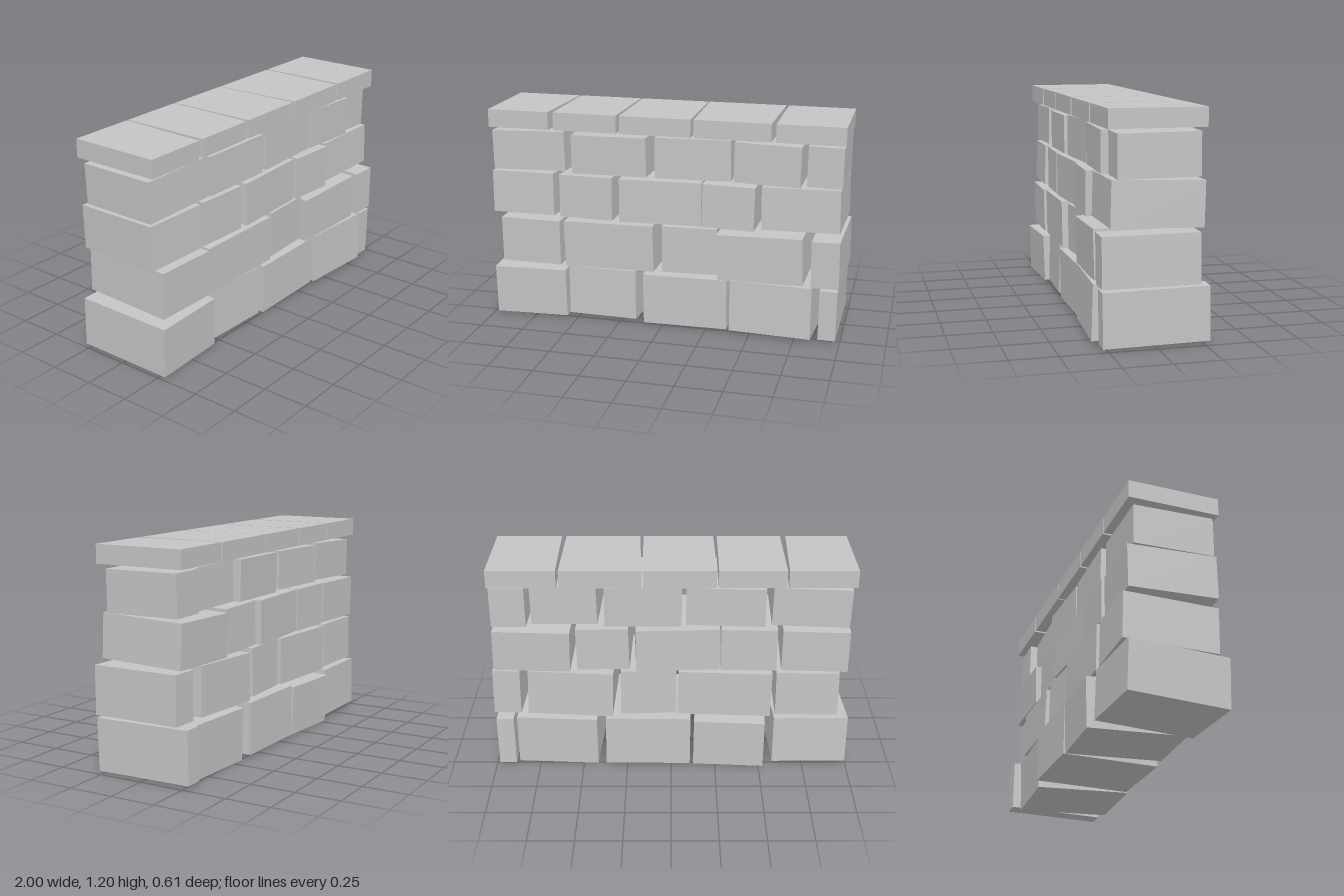
import * as THREE from 'three';

// Each stone: [x0, x1, y0, y1, z0, z1, tilt x, turn y, roll z], the extents it fills once turned
const courses = {
  baseStone: [
    [-1, -0.56, 0.005, 0.305, -0.28, 0.29, 0.03, 0.03, 0.01],
    [-0.555, -0.125, 0.005, 0.31, -0.31, 0.265, -0.03, -0.05, 0.01],
    [-0.11, 0.37, 0.01, 0.31, -0.285, 0.265, 0.01, 0, 0.01],
    [0.385, 0.875, 0, 0.31, -0.27, 0.305, -0.03, -0.06, 0],
    [0.88, 0.985, 0.01, 0.305, -0.28, 0.28, 0.015, -0.01, -0.01],
  ],
  lowerStone: [
    [-0.945, -0.585, 0.315, 0.585, -0.265, 0.265, 0.02, -0.02, 0],
    [-0.575, -0.035, 0.31, 0.59, -0.265, 0.265, 0.01, -0.025, 0.02],
    [-0.03, 0.305, 0.315, 0.59, -0.25, 0.24, 0.015, 0.05, 0],
    [0.305, 0.805, 0.3, 0.59, -0.26, 0.28, 0.02, -0.03, 0.03],
    [0.83, 1, 0.31, 0.58, -0.225, 0.285, 0.01, -0.03, 0.01],
  ],
  middleStone: [
    [-1, -0.61, 0.59, 0.845, -0.255, 0.25, -0.02, -0.04, 0.01],
    [-0.6, -0.275, 0.595, 0.84, -0.245, 0.245, 0, -0.035, 0],
    [-0.27, 0.215, 0.595, 0.84, -0.25, 0.25, 0, 0.045, 0],
    [0.22, 0.525, 0.595, 0.845, -0.235, 0.255, 0, -0.02, -0.02],
    [0.545, 0.985, 0.59, 0.85, -0.255, 0.24, -0.03, -0.02, 0.02],
  ],
  upperStone: [
    [-0.995, -0.55, 0.845, 1.085, -0.22, 0.235, -0.01, -0.025, 0.03],
    [-0.53, -0.08, 0.85, 1.08, -0.225, 0.24, 0.01, -0.03, 0.015],
    [-0.06, 0.375, 0.85, 1.085, -0.22, 0.23, -0.01, 0.025, 0.01],
    [0.39, 0.77, 0.85, 1.085, -0.2, 0.235, 0.01, -0.03, -0.02],
    [0.785, 0.985, 0.85, 1.08, -0.225, 0.205, 0.01, -0.015, -0.01],
  ],
};

// Coping slabs: [front left, front right, back left, back right] in x
const slabs = [
  [-1, -0.65, -1, -0.63],
  [-0.62, -0.26, -0.62, -0.255],
  [-0.24, 0.157, -0.245, 0.15],
  [0.175, 0.595, 0.157, 0.6],
  [0.62, 0.99, 0.615, 0.99],
];

export function createModel() {
  const model = new THREE.Group();
  model.name = 'stoneWall';
  const stone = new THREE.MeshStandardMaterial({ color: 0xc4c4c4 });
  stone.name = 'greyStone';

  // Slightly turned stones, shrunk so the turned box fits its extents
  for (const [name, list] of Object.entries(courses)) {
    const course = new THREE.Group();
    course.name = name + 'Course';
    list.forEach(([x0, x1, y0, y1, z0, z1, rx, ry, rz], i) => {
      const X = x1 - x0, Y = y1 - y0, Z = z1 - z0;
      const [a, b, c] = [rx, ry, rz].map(Math.abs);
      const mesh = new THREE.Mesh(
        new THREE.BoxGeometry(X - Z * b - Y * c, Y - Z * a - X * c, Z - X * b - Y * a), stone);
      mesh.position.set((x0 + x1) / 2, (y0 + y1) / 2, (z0 + z1) / 2);
      mesh.rotation.set(rx, ry, rz);
      mesh.name = name + (i + 1);
      course.add(mesh);
    });
    model.add(course);
  }

  // Flat coping with slightly skewed joints
  const coping = new THREE.Group();
  coping.name = 'coping';
  slabs.forEach(([fl, fr, bl, br], i) => {
    const geo = new THREE.BoxGeometry(1, 0.1, 0.505);
    const p = geo.attributes.position;
    for (let v = 0; v < p.count; v++) {
      const front = p.getZ(v) > 0, left = p.getX(v) < 0;
      p.setX(v, front ? (left ? fl : fr) : (left ? bl : br));
    }
    geo.computeVertexNormals();
    const mesh = new THREE.Mesh(geo, stone);
    mesh.position.set(0, 1.147, 0.002);
    mesh.name = 'copingSlab' + (i + 1);
    coping.add(mesh);
  });
  model.add(coping);
  return model;
}
